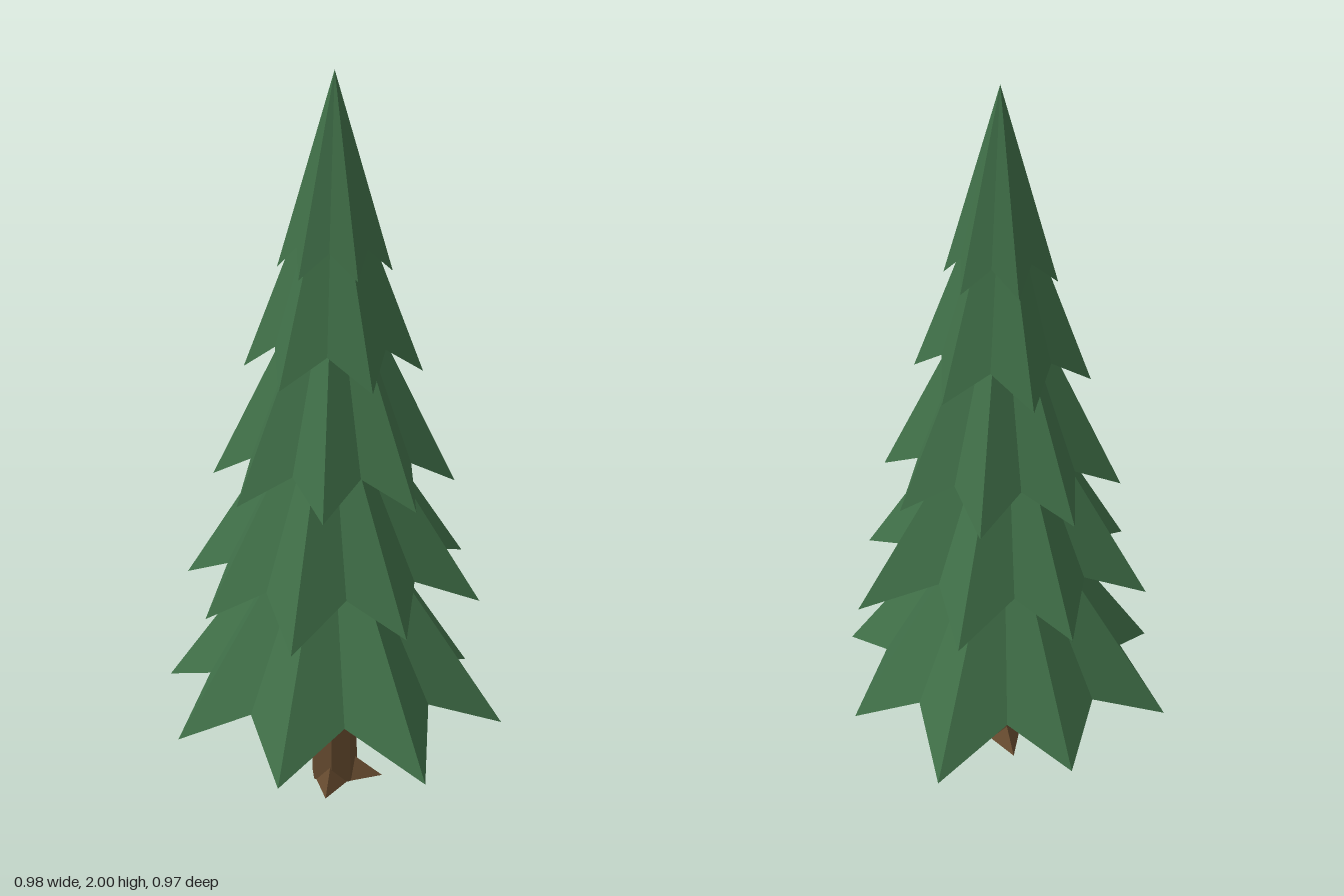
import * as THREE from 'three';

const needles = new THREE.MeshStandardMaterial({ color: 0x3f6e47 });
needles.name = 'needleGreen';
const bark = new THREE.MeshStandardMaterial({ color: 0x64492e });
bark.name = 'barkBrown';

// Faceted geometry from a list of triangles (each three Vector3)
function facets(triangles) {
  const geo = new THREE.BufferGeometry().setFromPoints(triangles.flat());
  geo.computeVertexNormals();
  return geo;
}

// Star-shaped skirt: drooping tips, raised valleys, hollow underside
function starTier({ x, z, rot, radii, valleyR, tipY, valleyY, apexY, hollow }) {
  const n = radii.length * 2;
  const rim = [];
  for (let i = 0; i < n; i++) {
    const isTip = i % 2 === 0;
    const a = THREE.MathUtils.degToRad(rot + (i * 360) / n);
    const r = isTip ? radii[i / 2] : valleyR;
    rim.push(new THREE.Vector3(x + r * Math.cos(a), isTip ? tipY : valleyY, z + r * Math.sin(a)));
  }
  const apex = new THREE.Vector3(x, apexY, z);
  const inner = new THREE.Vector3(x, tipY + hollow, z);
  const triangles = [];
  rim.forEach((p, i) => {
    const q = rim[(i + 1) % n];
    triangles.push([apex, q, p], [inner, p, q]);
  });
  return facets(triangles);
}

const even = (count, r) => Array(count).fill(r);

const TIERS = [
  { x: 0, z: 0, rot: 9, radii: [0.497, 0.513, 0.488, 0.475, 0.492, 0.456, 0.497, 0.465],
    valleyR: 0.342, tipY: 0.23, valleyY: 0.33, apexY: 0.93, hollow: 0.26 },
  { x: 0, z: 0.03, rot: 6, radii: [0.42, 0.38, 0.42, 0.385, 0.41, 0.39, 0.41, 0.455],
    valleyR: 0.28, tipY: 0.6, valleyY: 0.69, apexY: 1.25, hollow: 0.24 },
  { x: 0.01, z: 0.015, rot: -2.5, radii: even(8, 0.328),
    valleyR: 0.23, tipY: 0.92, valleyY: 1.0, apexY: 1.58, hollow: 0.22 },
  { x: 0.01, z: 0.022, rot: -2, radii: even(6, 0.237),
    valleyR: 0.165, tipY: 1.23, valleyY: 1.31, apexY: 1.84, hollow: 0.2 },
  { x: 0.015, z: 0.03, rot: 0, radii: even(6, 0.15),
    valleyR: 0.105, tipY: 1.5, valleyY: 1.565, apexY: 2.0, hollow: 0.18 },
];

// Pointed root spreading along +x
function rootGeometry() {
  const tip = new THREE.Vector3(0.14, 0, 0);
  const top = new THREE.Vector3(0.05, 0.065, 0);
  const near = new THREE.Vector3(0.045, 0, 0.045);
  const far = new THREE.Vector3(0.045, 0, -0.045);
  return facets([[tip, top, near], [tip, far, top], [tip, near, far], [top, far, near]]);
}

export function createModel() {
  const tree = new THREE.Group();
  tree.name = 'pineTree';

  // Foliage tiers, bottom to top
  const foliage = new THREE.Group();
  foliage.name = 'foliage';
  TIERS.forEach((tier, i) => {
    const mesh = new THREE.Mesh(starTier(tier), needles);
    mesh.name = `foliageTier${i + 1}`;
    foliage.add(mesh);
  });
  tree.add(foliage);

  // Trunk and roots share a centre
  const base = new THREE.Group();
  base.name = 'trunkBase';
  base.position.set(0.015, 0, 0.03);

  const trunkGeo = new THREE.CylinderGeometry(0.05, 0.068, 0.65, 7).toNonIndexed();
  trunkGeo.translate(0, 0.325, 0);
  trunkGeo.computeVertexNormals();
  const trunk = new THREE.Mesh(trunkGeo, bark);
  trunk.name = 'trunk';
  base.add(trunk);

  [0, 93, 242].forEach((deg, i) => {
    const root = new THREE.Mesh(rootGeometry(), bark);
    root.name = `root${i + 1}`;
    root.rotation.y = -THREE.MathUtils.degToRad(deg);
    base.add(root);
  });
  tree.add(base);

  return tree;
}
